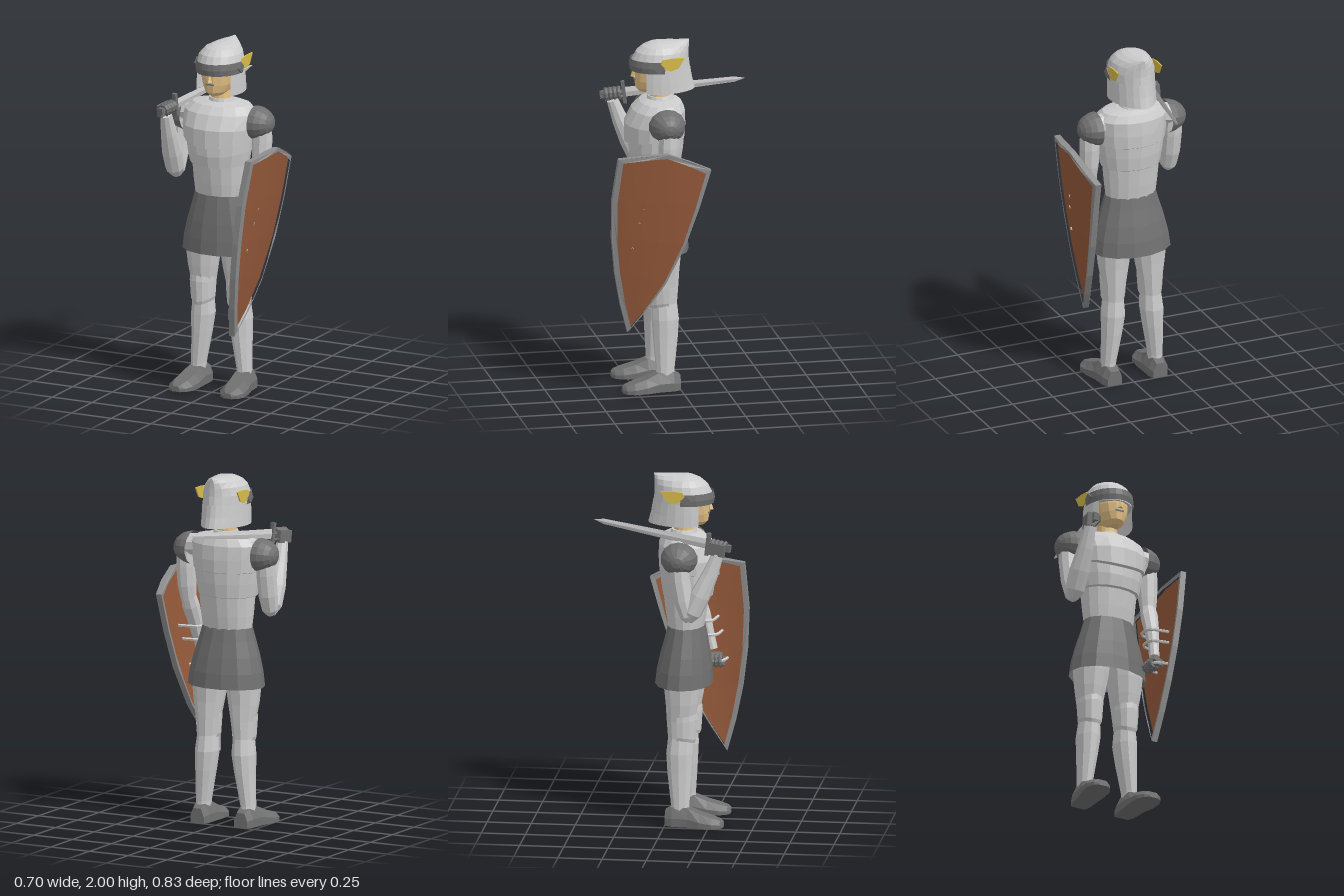
import * as THREE from 'three';

const CX = -0.022; // body's middle plane
const mat = (color, side = THREE.FrontSide) =>
  new THREE.MeshStandardMaterial({ color, flatShading: true, side });
const D = THREE.DoubleSide;
const PLATE = mat(0xcccccc), PLATE2 = mat(0xcccccc, D), DARK = mat(0x707070), DARK2 = mat(0x707070, D);
const RIM = mat(0x8e8e8e), SKIN = mat(0xe6c287), WOOD = mat(0x94593a, D), GOLD = mat(0xd8bc4a, D), LIPS = mat(0x66807c);
const V = (x, y, z) => new THREE.Vector3(x, y, z);

function add(parent, name, geo, material) {
  const m = new THREE.Mesh(geo, material);
  m.name = name;
  parent.add(m);
  return m;
}

// Skin over a list of equally long rings
function loft(rings, { closed = true, cap = true } = {}) {
  const n = rings[0].length, pos = rings.flat().flatMap(p => [p.x, p.y, p.z]), idx = [];
  for (let i = 0; i < rings.length - 1; i++)
    for (let j = 0; j < (closed ? n : n - 1); j++) {
      const a = i * n + j, b = i * n + (j + 1) % n;
      idx.push(a, a + n, b, b, a + n, b + n);
    }
  if (cap && closed)
    for (const i of [0, rings.length - 1]) {
      const c = rings[i].reduce((s, p) => s.add(p), V(0, 0, 0)).divideScalar(n), k = pos.length / 3;
      pos.push(c.x, c.y, c.z);
      for (let j = 0; j < n; j++) {
        const a = i * n + j, b = i * n + (j + 1) % n;
        i === 0 ? idx.push(k, a, b) : idx.push(k, b, a);
      }
    }
  const g = new THREE.BufferGeometry();
  g.setAttribute('position', new THREE.Float32BufferAttribute(pos, 3));
  g.setIndex(idx);
  g.computeVertexNormals();
  return g;
}

// Horizontal ring; dip lowers its front, taper narrows its back, from/to cut an arc
function ring(x, y, hw, zb, zf, { n = 14, dip = 0, taper = 0, zc = (zb + zf) / 2, from = 0, to = Math.PI * 2 } = {}) {
  const full = to - from > 6.28, out = [];
  for (let j = 0; j < (full ? n : n + 1); j++) {
    const a = from + (to - from) * j / n, s = Math.sin(a);
    out.push(V(x + hw * Math.cos(a) * (s < 0 ? 1 - taper * s * s : 1),
      y - dip * Math.max(0, s) ** 2, zc + s * (s > 0 ? zf - zc : zc - zb)));
  }
  return out;
}
const body = (rows, opt = {}, lo) => loft(rows.map(([y, hw, zb, zf, dip = 0]) => ring(CX, y, hw, zb, zf, { ...opt, dip })), lo);

// Round limb through points [x, y, z, radius]
function limb(pts, n = 9) {
  const P = pts.map(p => V(p[0], p[1], p[2]));
  return loft(P.map((p, i) => {
    const t = P[Math.min(i + 1, P.length - 1)].clone().sub(P[Math.max(i - 1, 0)]).normalize();
    const u = Math.abs(t.x) > 0.8 ? V(0, 0, 1) : V(1, 0, 0);
    u.addScaledVector(t, -u.dot(t)).normalize();
    const v = u.clone().cross(t), r = pts[i][3];
    return Array.from({ length: n }, (_, j) => {
      const a = j / n * Math.PI * 2;
      return p.clone().addScaledVector(u, r * Math.cos(a)).addScaledVector(v, r * Math.sin(a));
    });
  }));
}
const box = (w, h, d, x, y, z) => new THREE.BoxGeometry(w, h, d).translate(x, y, z);

// Flat plate drawn in (z, y), thick along x
function plate(points, depth, hole) {
  const path = pts => pts.map(([z, y]) => new THREE.Vector2(-z, y));
  const s = new THREE.Shape(path(points));
  if (hole) s.holes.push(new THREE.Path(path(hole)));
  return new THREE.ExtrudeGeometry(s, { depth, bevelEnabled: false }).rotateY(Math.PI / 2);
}

// Closed fist around the local z axis
function fist() {
  const g = new THREE.Group();
  add(g, 'palm', box(0.03, 0.07, 0.095, 0.03, -0.012, 0), DARK);
  for (let i = 0; i < 4; i++)
    add(g, 'finger', new THREE.TorusGeometry(0.028, 0.012, 5, 6, 4.2).translate(0, 0, -0.036 + i * 0.024), DARK);
  add(g, 'thumb', limb([[0.03, -0.03, 0.04, 0.014], [0, -0.036, 0.05, 0.013], [-0.025, -0.015, 0.05, 0.01]], 5), DARK);
  return g;
}

function shield() {
  const g = new THREE.Group(), T = 0.035;
  g.name = 'shield';
  const front = [[0.31, 0.36], [0.355, 0.53], [0.392, 0.72], [0.415, 0.93], [0.42, 1.16], [0.39, 1.415]];
  const back = [[0.31, 0.36], [0.21, 0.49], [0.105, 0.65], [-0.005, 0.88], [-0.08, 1.1], [-0.145, 1.32]];
  const bend = (y, z) => 0.19 + 0.152 * (y - 0.36) + 0.012 * Math.sin((y - 0.36) * 3) - 0.035 * ((z - 0.13) / 0.27) ** 2;
  const shrink = (k, l) => ([z, y]) => [0.15 + (z - 0.15) * k, 0.98 + (y - 0.98) * l];
  // Rim
  const outline = [...front, [0.25, 1.43], [0.11, 1.437], [-0.03, 1.378], ...back.slice(1).reverse()];
  const rim = plate(outline, T, outline.map(shrink(0.89, 0.95)));
  const p = rim.attributes.position;
  for (let i = 0; i < p.count; i++) p.setX(i, p.getX(i) - T + bend(p.getY(i), p.getZ(i)));
  add(g, 'shieldRim', rim, RIM);
  // Bowed wooden panel
  const rows = front.map((f, i) => Array.from({ length: 9 }, (_, j) => {
    const u = j / 8, b = back[i], peak = 0.065 * (i / 5) ** 4 * (1 - Math.abs(2 * u - 1));
    const [z, y] = shrink(0.95, 0.975)([f[0] + (b[0] - f[0]) * u, f[1] + (b[1] - f[1]) * u + peak]);
    return V(bend(y, z) - T * 0.45, y, z);
  }));
  add(g, 'shieldPanel', loft(rows, { closed: false }), WOOD);
  // Arm straps and hand grip
  for (const [y, z] of [[1.1, 0.17], [1.02, 0.195], [0.87, 0.23]]) {
    const x = bend(y, z) - T / 2;
    const c = new THREE.CatmullRomCurve3([V(x, y, z - 0.07), V(0.18, y, z - 0.045), V(0.165, y, z), V(0.18, y, z + 0.045), V(x, y, z + 0.07)]);
    add(g, 'shieldStrap', new THREE.TubeGeometry(c, 12, 0.009, 5), PLATE);
  }
  return g;
}

function sword() {
  const g = new THREE.Group();
  g.name = 'sword';
  const diamond = (z, w, t) => [V(w, 0, z), V(0, -t, z), V(-w, 0, z), V(0, t, z)];
  add(g, 'blade', loft([diamond(0.13, 0.006, 0.029), diamond(0.76, 0.005, 0.016), diamond(0.82, 0.0005, 0.001)]), PLATE);
  add(g, 'guard', box(0.025, 0.13, 0.02, 0, 0, 0.135), DARK);
  add(g, 'grip', new THREE.CylinderGeometry(0.015, 0.015, 0.13, 8).rotateX(Math.PI / 2).translate(0, 0, 0.07), DARK);
  add(g, 'pommel', box(0.03, 0.04, 0.022, 0, 0, 0.01), DARK);
  const hand = fist();
  hand.name = 'rightHand';
  hand.position.z = 0.07;
  g.add(hand);
  g.position.set(-0.258, 1.633, 0.38);
  g.lookAt(-0.083, 1.735, -0.415);
  return g;
}

function head() {
  const g = new THREE.Group();
  g.name = 'head';
  add(g, 'neck', body([[1.63, 0.06, 0.03, 0.15], [1.78, 0.054, 0.03, 0.14]]), SKIN);
  add(g, 'face', body([[1.712, 0.035, 0.08, 0.2], [1.735, 0.065, 0.03, 0.225], [1.78, 0.088, 0, 0.232], [1.83, 0.1, -0.02, 0.235], [1.9, 0.1, -0.02, 0.23]]), SKIN);
  add(g, 'nose', new THREE.ConeGeometry(0.018, 0.06, 4).translate(CX, 1.83, 0.236), SKIN);
  add(g, 'mouth', box(0.05, 0.009, 0.012, CX, 1.785, 0.228), LIPS);
  // Helmet: crown raised at the back, guard open at the face
  const opt = { n: 18, taper: 0.22, zc: 0.09 };
  add(g, 'helmetCrown', body([[1.84, 0.13, -0.088, 0.248], [1.9, 0.129, -0.08, 0.245], [1.945, 0.115, -0.08, 0.222],
    [1.975, 0.09, -0.082, 0.185], [1.993, 0.055, -0.084, 0.145], [2, 0.02, -0.085, 0.105]], opt, { cap: true }), PLATE);
  const arc = { ...opt, n: 16, from: Math.PI * 0.8, to: Math.PI * 2.2 };
  add(g, 'neckGuard', body([[1.72, 0.133, -0.116, 0.25], [1.78, 0.132, -0.1, 0.25], [1.85, 0.13, -0.088, 0.248]], arc, { closed: false }), PLATE2);
  const vis = { ...opt, from: -0.05, to: Math.PI + 0.05, n: 12, taper: 0 };
  add(g, 'visor', body([[1.84, 0.134, -0.08, 0.256], [1.872, 0.138, -0.08, 0.262], [1.908, 0.134, -0.08, 0.256]], vis, { closed: false }), DARK2);
  for (const s of [-1, 1]) {
    add(g, 'wing', plate([[0.116, 1.88], [0.095, 1.922], [0.04, 1.93], [-0.03, 1.928], [0.005, 1.87], [0.05, 1.855]], 0.008)
      .translate(CX + s * 0.134 - 0.004, 0, 0), GOLD);
    add(g, 'wingClasp', box(0.012, 0.045, 0.045, 0, 0, 0).rotateX(0.8).translate(CX + s * 0.136, 1.875, 0.115), DARK);
  }
  return g;
}

export function createModel() {
  const root = new THREE.Group();
  root.name = 'knight';

  // Tiered breastplate, collar and flared skirt
  add(root, 'breastplate', body([[1.11, 0.147, 0, 0.2], [1.2, 0.157, -0.015, 0.215], [1.31, 0.166, -0.03, 0.228, 0.01],
    [1.313, 0.174, -0.033, 0.25, 0.01], [1.39, 0.188, -0.045, 0.262, 0.02], [1.455, 0.196, -0.05, 0.262, 0.035],
    [1.458, 0.206, -0.054, 0.288, 0.035], [1.53, 0.214, -0.058, 0.287], [1.61, 0.215, -0.054, 0.245],
    [1.652, 0.175, -0.035, 0.2], [1.668, 0.09, 0, 0.165]], { n: 16 }), PLATE);
  add(root, 'collar', body([[1.65, 0.08, 0, 0.165], [1.685, 0.066, 0.015, 0.155]]), PLATE);
  add(root, 'skirt', body([[0.795, 0.233, -0.075, 0.25], [0.88, 0.222, -0.065, 0.245], [0.97, 0.2, -0.045, 0.235],
    [1.06, 0.172, -0.02, 0.22], [1.13, 0.152, -0.003, 0.206]], {}, { cap: false }), DARK2);

  for (const s of [-1, 1]) {
    // Legs
    const leg = new THREE.Group();
    leg.name = s < 0 ? 'rightLeg' : 'leftLeg';
    root.add(leg);
    add(leg, 'leg', loft([[0.04, 0.146, 0.04, 0.03, 0.135], [0.12, 0.143, 0.042, 0.03, 0.137], [0.3, 0.126, 0.058, 0.008, 0.15],
      [0.41, 0.118, 0.068, 0, 0.156], [0.5, 0.115, 0.059, 0.01, 0.155], [0.6, 0.112, 0.069, 0.002, 0.165],
      [0.7, 0.111, 0.087, -0.004, 0.185], [0.8, 0.108, 0.1, -0.015, 0.2], [0.93, 0.1, 0.1, -0.02, 0.21]]
      .map(([y, x, hw, zb, zf]) => ring(CX + s * x, y, hw, zb, zf, { n: 10 }))), PLATE);
    add(leg, 'kneeGuard', loft([[0.49, 0.06, 0.162, 0.02], [0.51, 0.068, 0.17, 0.02], [0.6, 0.075, 0.178, -0.01], [0.63, 0.076, 0.174, -0.015]]
      .map(([y, hw, zf, dip]) => ring(CX + s * 0.114, y, hw, 0.02, zf, { zc: 0.08, dip, n: 8, from: -0.2, to: Math.PI + 0.2 })), { closed: false }), PLATE2);
    add(leg, 'shoe', loft([[0, 0.043, 0.085, 0.14], [0.04, 0.058, 0.105, 0.143], [0.13, 0.063, 0.105, 0.147], [0.2, 0.074, 0.075, 0.155],
      [0.27, 0.074, 0.055, 0.16], [0.315, 0.052, 0.042, 0.163], [0.332, 0.025, 0.03, 0.163]].map(([z, w, h, x]) =>
      [[1, 0.45], [1, 0], [-1, 0], [-1, 0.45], [-0.55, 1], [0.55, 1]].map(([a, b]) => V(CX + s * x + a * w, b * h, z)))), DARK);
    // Shoulders
    add(root, 'shoulder', limb([[CX + s * 0.12, 1.59, 0.085, 0.06], [CX + s * 0.24, 1.575, 0.085, 0.062]]), PLATE);
    add(root, 'shoulderGuard', new THREE.SphereGeometry(1, 14, 5, 0, Math.PI * 2, 0, Math.PI / 2).rotateZ(-s * Math.PI / 2)
      .scale(0.117, 0.095, 0.105).translate(CX + s * 0.211, 1.56, 0.087), DARK2);
  }

  // Right arm bent up to the sword, left arm hanging behind the shield
  add(root, 'rightUpperArm', limb([[-0.275, 1.58, 0.085, 0.055], [-0.275, 1.45, 0.095, 0.057], [-0.275, 1.33, 0.115, 0.055], [-0.275, 1.24, 0.14, 0.046], [-0.275, 1.21, 0.15, 0.025]]), PLATE);
  add(root, 'rightForearm', limb([[-0.275, 1.215, 0.14, 0.03], [-0.275, 1.26, 0.165, 0.055], [-0.27, 1.36, 0.21, 0.058], [-0.262, 1.48, 0.265, 0.046], [-0.258, 1.6, 0.31, 0.033]]), PLATE);
  add(root, 'leftUpperArm', limb([[0.235, 1.58, 0.085, 0.055], [0.237, 1.45, 0.088, 0.058], [0.235, 1.34, 0.095, 0.054], [0.232, 1.26, 0.105, 0.044]]), PLATE);
  add(root, 'leftForearm', limb([[0.232, 1.29, 0.1, 0.043], [0.228, 1.22, 0.125, 0.05], [0.22, 1.12, 0.165, 0.043], [0.214, 1, 0.2, 0.031], [0.208, 0.93, 0.218, 0.03]]), PLATE);
  const hand = fist();
  hand.name = 'leftHand';
  hand.position.set(0.18, 0.87, 0.23);
  hand.rotation.z = Math.PI / 3;
  root.add(hand);

  root.add(head(), sword(), shield());
  return root;
}
